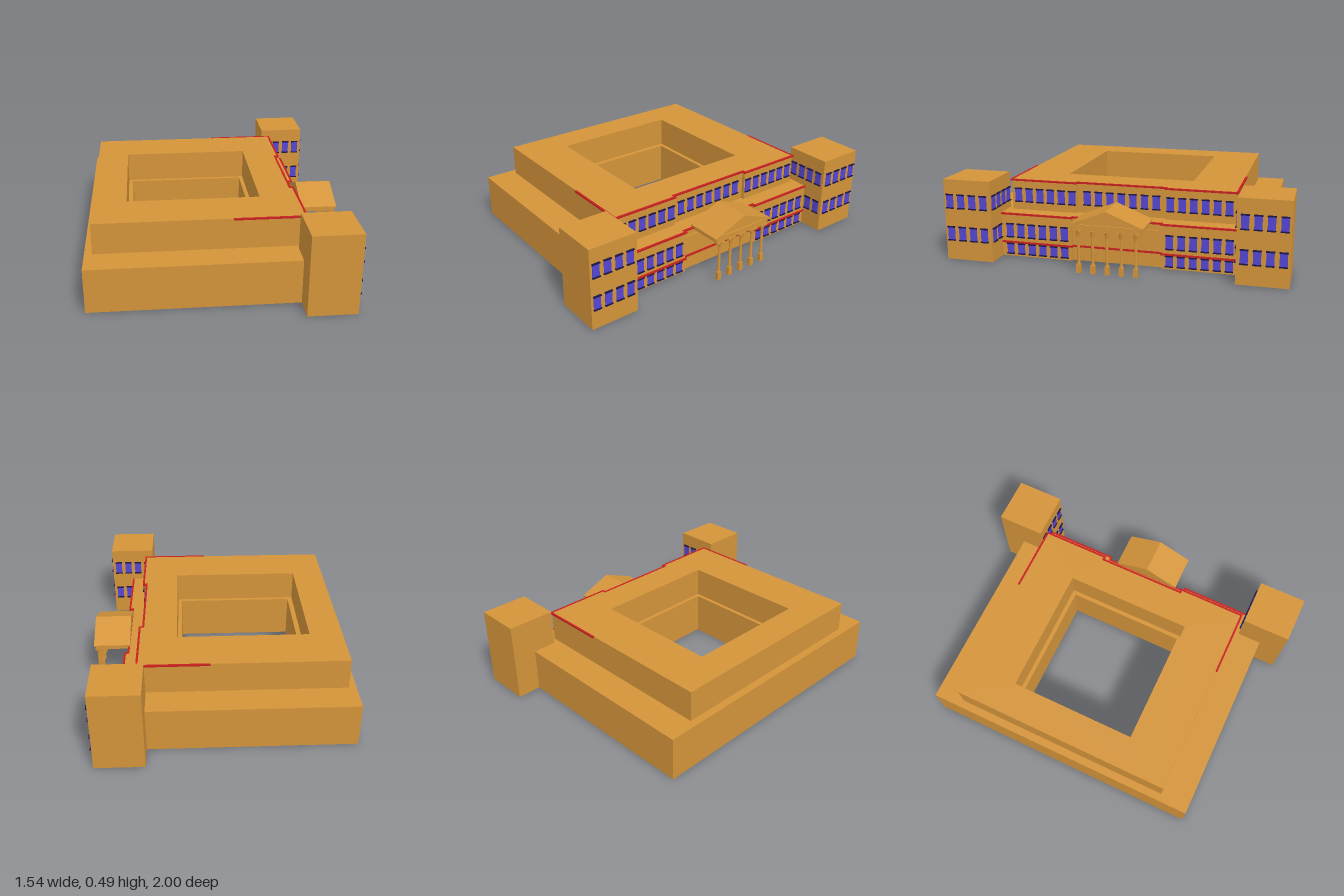
import * as THREE from 'three';

const material = (color, extra = {}) => new THREE.MeshStandardMaterial({ color, flatShading: true, ...extra });

export function createModel() {
  const model = new THREE.Group();
  const stone = material(0xd4943a), red = material(0xc82020);
  const glass = material(0x5546d6), dark = material(0x1c1648);

  const add = (parent, name, geometry, mat, x = 0, y = 0, z = 0) => {
    const mesh = new THREE.Mesh(geometry, mat);
    mesh.name = name;
    mesh.position.set(x, y, z);
    parent.add(mesh);
    return mesh;
  };
  // Box given by its minimum and maximum corners
  const block = (parent, name, mat, [x0, y0, z0], [x1, y1, z1]) =>
    add(parent, name, new THREE.BoxGeometry(x1 - x0, y1 - y0, z1 - z0), mat,
      (x0 + x1) / 2, (y0 + y1) / 2, (z0 + z1) / 2);

  // Storey with a courtyard: half outline is mirrored across z = 0
  const storey = (name, half, [hx0, hx1, hz], y0, y1) => {
    const mirrored = half.map(([x, z]) => [x, -z]).reverse();
    const shape = new THREE.Shape([...half, ...mirrored].map(p => new THREE.Vector2(...p)));
    shape.holes.push(new THREE.Path([[hx0, -hz], [hx0, hz], [hx1, hz], [hx1, -hz]]
      .map(p => new THREE.Vector2(...p))));
    const geometry = new THREE.ExtrudeGeometry(shape, { depth: y1 - y0, bevelEnabled: false });
    geometry.rotateX(-Math.PI / 2);
    add(model, name, geometry, stone, 0, y0, 0);
  };
  storey('lowerStoreys', [[0.55, 0.27], [0.57, 0.27], [0.57, 0.72], [0.43, 0.72], [0.43, 0.855], [-0.77, 0.855]],
    [-0.5, 0.225, 0.365], 0, 0.265);
  storey('upperStorey', [[0.45, 0.27], [0.47, 0.27], [0.47, 0.677], [-0.725, 0.677]],
    [-0.53, 0.25, 0.39], 0.265, 0.45);

  // Red string courses following the stepped front
  const trim = (name, path, y) => {
    const group = new THREE.Group();
    group.name = name;
    const t = 0.006, h = 0.005;
    for (let i = 1; i < path.length; i++) {
      const [a, b] = [path[i - 1], path[i]];
      block(group, 'trimSegment', red,
        [Math.min(a[0], b[0]) - t, y - h, Math.min(a[1], b[1]) - t],
        [Math.max(a[0], b[0]) + t, y + h, Math.max(a[1], b[1]) + t]);
    }
    model.add(group);
  };
  const frontPath = (x, end) => [[x, -end], [x, -0.27], [x - 0.02, -0.27], [x - 0.02, 0.27], [x, 0.27], [x, end]];
  trim('roofTrim', [[0.07, -0.68], ...frontPath(0.473, 0.68), [0.07, 0.68]], 0.447);
  trim('middleTrim', frontPath(0.573, 0.705), 0.262);
  trim('baseTrim', frontPath(0.573, 0.705), 0.088);

  // Windows: pane with projecting lintel and sill, facing +x before turning
  const windowAt = (x, y, z, angle = 0, height = 0.08) => {
    const group = new THREE.Group();
    group.name = 'window';
    add(group, 'pane', new THREE.BoxGeometry(0.008, height, 0.043), glass);
    for (const s of [-1, 1])
      add(group, s > 0 ? 'lintel' : 'sill', new THREE.BoxGeometry(0.02, 0.007, 0.047), dark, 0, s * height / 2, 0);
    group.position.set(x, y, z);
    group.rotation.y = angle;
    model.add(group);
  };

  for (const s of [-1, 1]) {
    // Corner tower, windows on the front and inner faces
    block(model, 'cornerTower', stone, [0.43, 0, s > 0 ? 0.71 : -1], [0.715, 0.485, s > 0 ? 1 : -0.71]);
    for (const y of [0.16, 0.355]) {
      for (let i = 0; i < 4; i++) {
        windowAt(0.715, y, s * (0.754 + i * 0.07));
        if (y > 0.3 || i > 1) windowAt(0.47 + i * 0.068, y, s * 0.71, s * Math.PI / 2);
      }
    }
    // Wing windows
    for (let i = 0; i < 6; i++) {
      windowAt(0.57, 0.16, s * (0.315 + i * 0.0685));
      windowAt(0.57, 0.047, s * (0.315 + i * 0.0685), 0, 0.062);
      windowAt(0.47, 0.355, s * (0.298 + i * 0.068));
    }
  }
  for (let i = -3; i <= 3; i++) windowAt(0.45, 0.355, i * 0.07);

  // Plain moulding behind the portico
  block(model, 'wallMoulding', stone, [0.545, 0.208, -0.27], [0.558, 0.222, 0.27]);

  // Portico: entablature, pediment and two roof slabs
  const portico = new THREE.Group();
  portico.name = 'portico';
  model.add(portico);
  block(portico, 'entablature', stone, [0.548, 0.25, -0.195], [0.757, 0.283, 0.195]);
  const gable = (name, points, x0, x1) => {
    const shape = new THREE.Shape(points.map(p => new THREE.Vector2(...p)));
    const geometry = new THREE.ExtrudeGeometry(shape, { depth: x1 - x0, bevelEnabled: false });
    geometry.rotateY(Math.PI / 2);
    add(portico, name, geometry, stone, x0, 0, 0);
  };
  gable('pediment', [[-0.195, 0.28], [0.195, 0.28], [0, 0.358]], 0.548, 0.75);
  gable('porticoRoof', [[-0.21, 0.275], [-0.18, 0.28], [0, 0.352], [0.18, 0.28], [0.21, 0.275],
    [0.21, 0.285], [0, 0.37], [-0.21, 0.285]], 0.545, 0.767);

  // Columns on square pedestals with flared capitals
  const shaft = new THREE.LatheGeometry([[0.012, 0.05], [0.009, 0.06], [0.008, 0.205], [0.01, 0.225], [0.018, 0.25]]
    .map(p => new THREE.Vector2(...p)), 12);
  const round = material(0xd4943a, { flatShading: false, side: THREE.DoubleSide });
  for (let i = -2; i <= 2; i++) {
    const z = i * 0.083;
    add(portico, 'columnShaft', shaft, round, 0.747, 0, z);
    block(portico, 'columnPedestal', stone, [0.736, 0, z - 0.013], [0.758, 0.05, z + 0.013]);
    block(portico, 'columnCapital', stone, [0.733, 0.24, z - 0.026], [0.761, 0.252, z + 0.026]);
  }
  return model;
}
